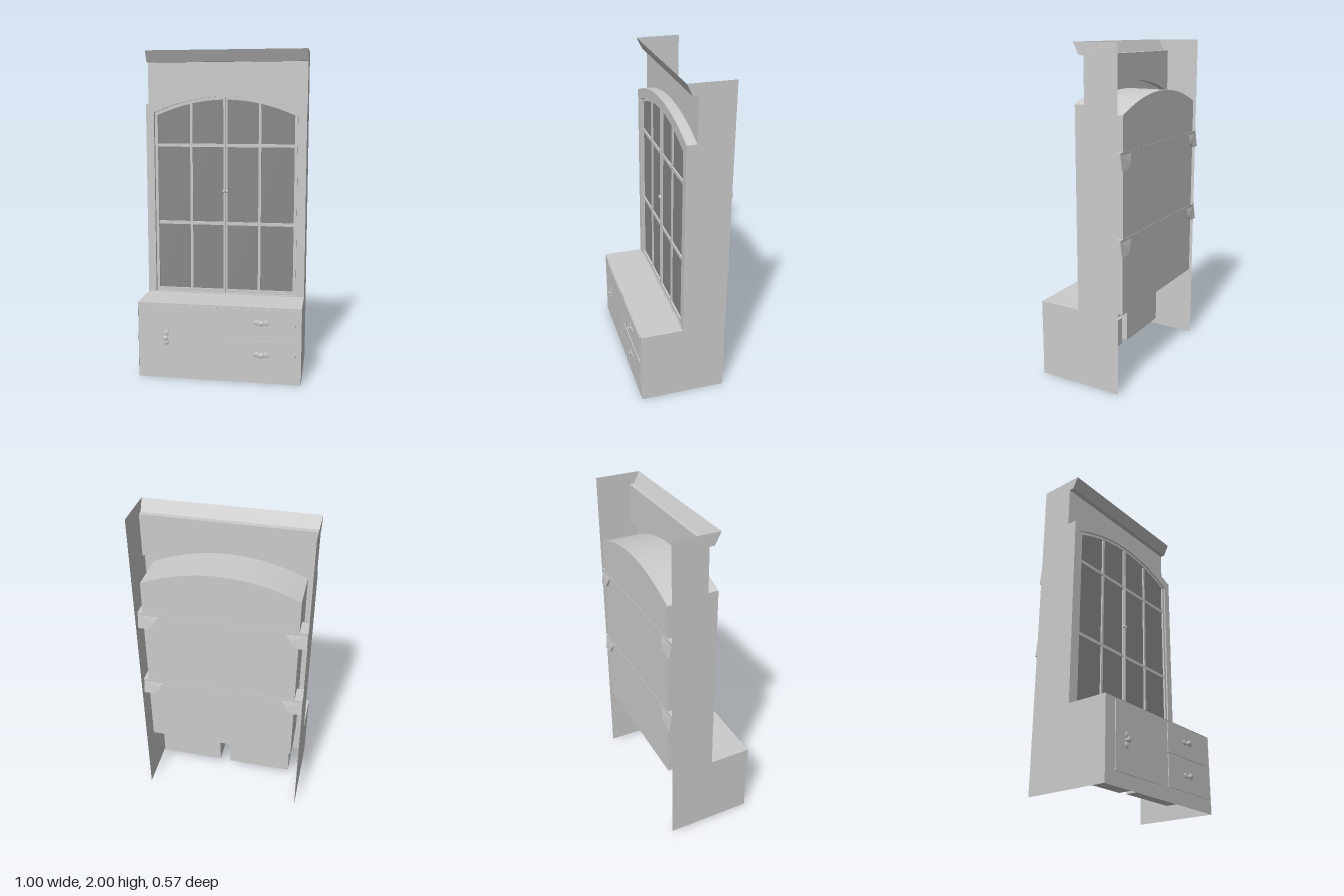
import * as THREE from 'three';

const grey = new THREE.MeshStandardMaterial({ color: 0xcccccc, side: THREE.DoubleSide });
const dark = new THREE.MeshStandardMaterial({ color: 0x888888, side: THREE.DoubleSide });

const BACK = -0.27, FRONT = 0.26, BASE_H = 0.475, RECESS = -0.06;

function add(parent, name, geometry, x = 0, y = 0, z = 0, material = grey) {
  const mesh = new THREE.Mesh(geometry, material);
  mesh.name = name;
  mesh.position.set(x, y, z);
  parent.add(mesh);
  return mesh;
}

// Box given by its limits
function block(parent, name, [x0, x1], [y0, y1], [z0, z1]) {
  return add(parent, name, new THREE.BoxGeometry(x1 - x0, y1 - y0, z1 - z0),
    (x0 + x1) / 2, (y0 + y1) / 2, (z0 + z1) / 2);
}

const polygon = (pts) => new THREE.Shape(pts.map(([x, y]) => new THREE.Vector2(x, y)));
const extrude = (shape, depth) =>
  new THREE.ExtrudeGeometry(shape, { depth, bevelEnabled: false, curveSegments: 12 });

// Shallow arch heights, as functions of x
const arch = (crown, half, rise) => (x) => crown - rise * (x / half) ** 2;
const hoodArch = arch(1.77, 0.5, 0.1);
const boxArch = arch(1.72, 0.45, 0.1);
const glassArch = arch(1.7, 0.428, 0.095);

// Outline with straight sides, a flat edge at y0 and an arched edge
function archOutline(x0, x1, y0, curve, n = 24) {
  const pts = [[x0, y0], [x1, y0]];
  for (let i = 0; i <= n; i++) {
    const x = x1 + (x0 - x1) * i / n;
    pts.push([x, curve(x)]);
  }
  return polygon(pts);
}

// Pull with two pointed leaves, a boss and a mushroom knob, lying along x
function makeHandle() {
  const handle = new THREE.Group();
  handle.name = 'handle';
  for (const s of [-1, 1]) {
    const leaf = add(handle, 'handleLeaf', new THREE.SphereGeometry(1, 8, 6), s * 0.027, 0, 0);
    leaf.geometry = new THREE.LatheGeometry(
      [[0, -0.025], [0.01, -0.012], [0.019, 0.0], [0.012, 0.012], [0, 0.025]]
        .map(([r, y]) => new THREE.Vector2(r, y)), 12);
    leaf.rotation.z = -s * Math.PI / 2;
    leaf.scale.set(1, 1, 0.25);
  }
  const knob = add(handle, 'handleKnob', new THREE.LatheGeometry(
    [[0.012, 0], [0.006, 0.004], [0.005, 0.01], [0.014, 0.013], [0.016, 0.017], [0.012, 0.021], [0, 0.023]]
      .map(([r, y]) => new THREE.Vector2(r, y)), 16));
  knob.rotation.x = Math.PI / 2;
  return handle;
}

// Glazed door leaf for the +x half; s = -1 mirrors it
function makeGlassDoor(s) {
  const door = new THREE.Group();
  door.name = s > 0 ? 'leftGlassDoor' : 'rightGlassDoor';
  const span = (a, b) => (s > 0 ? [a, b] : [-b, -a]);
  const [o0, o1] = span(0.002, 0.446), [i0, i1] = span(0.013, 0.428);
  const frame = archOutline(o0, o1, 0.482, (x) => boxArch(x) - 0.004);
  frame.holes.push(archOutline(i0, i1, 0.505, glassArch));
  add(door, 'doorFrame', extrude(frame, 0.014), 0, 0, -0.02);
  add(door, 'glass', new THREE.ShapeGeometry(archOutline(i0, i1, 0.505, glassArch)), 0, 0, -0.018, dark);
  block(door, 'verticalBar', span(0.207, 0.223), [0.505, glassArch(0.215)], [-0.018, -0.009]);
  for (const y of [0.93, 1.42]) block(door, 'crossBar', [i0, i1], [y - 0.01, y + 0.01], [-0.018, -0.009]);
  add(door, 'doorKnob', new THREE.SphereGeometry(0.009, 12, 8), s * 0.01, 1.135, -0.004);
  return door;
}

// Shelf with a curved, flared bracket under each end
function makeShelf(y) {
  const shelf = new THREE.Group();
  shelf.name = 'shelf';
  block(shelf, 'shelfBoard', [-0.498, 0.48], [0, 0.018], [-0.274, -0.165]);
  const outline = new THREE.Shape();
  outline.moveTo(0, 0);
  outline.lineTo(0.13, 0);
  outline.bezierCurveTo(0.095, -0.01, 0.1, -0.075, 0.05, -0.083);
  outline.lineTo(0, -0.083);
  for (const s of [-1, 1]) {
    const geo = extrude(outline, 0.109);
    const p = geo.attributes.position;
    for (let i = 0; i < p.count; i++) {
      const flare = Math.sin(Math.min(1, -p.getY(i) / 0.07) * Math.PI / 2);
      if (p.getZ(i) < 0.01) p.setZ(i, -0.011 * flare);
    }
    geo.computeVertexNormals();
    const bracket = add(shelf, 'shelfBracket', geo, s > 0 ? 0.48 : -0.498, 0, -0.274);
    bracket.scale.x = -s;
  }
  shelf.position.y = y;
  return shelf;
}

export function createModel() {
  const model = new THREE.Group();
  model.name = 'cabinet';

  // Thin side panels, drawn in (-z, y)
  const side = new THREE.ShapeGeometry(polygon([
    [-BACK, 0], [-BACK, 2], [-0.005, 2], [0.03, 1.93], [-RECESS, 1.93], [-RECESS, 1.67],
    [0, 1.67], [0, BASE_H], [-FRONT, BASE_H], [-FRONT, 0],
  ]));
  for (const s of [-1, 1]) {
    add(model, s > 0 ? 'leftSide' : 'rightSide', side, s * 0.5).rotation.y = Math.PI / 2;
  }

  // Base front and worktop, open behind and below
  add(model, 'baseFront', new THREE.PlaneGeometry(1, BASE_H), 0, BASE_H / 2, FRONT - 0.003);
  add(model, 'worktop', new THREE.PlaneGeometry(1, FRONT), 0, BASE_H, FRONT / 2).rotation.x = -Math.PI / 2;

  // Cupboard and drawers, reaching back inside the base
  block(model, 'cupboard', [-0.418, -0.01], [0.08, 0.46], [-0.04, 0.262]);
  block(model, 'lowerDrawer', [0.058, 0.465], [0.085, 0.265], [-0.04, 0.262]);
  block(model, 'upperDrawer', [0.058, 0.465], [0.285, 0.46], [-0.04, 0.262]);
  for (const [x, y, turn] of [[-0.325, 0.26, Math.PI / 2], [0.26, 0.38, 0], [0.26, 0.18, 0]]) {
    const handle = makeHandle();
    handle.position.set(x, y, 0.262);
    handle.rotation.z = turn;
    model.add(handle);
  }

  // Upper face frame with an arched opening
  const face = archOutline(-0.5, 0.5, BASE_H, hoodArch);
  face.holes.push(archOutline(-0.45, 0.45, 0.48, boxArch));
  add(model, 'faceFrame', extrude(face, 0.022), 0, 0, -0.022);

  // Arched display compartment behind the doors
  add(model, 'displayBox', extrude(archOutline(-0.45, 0.45, 0.48, boxArch), 0.25), 0, 0, -0.272);
  for (const s of [-1, 1]) model.add(makeGlassDoor(s));
  for (const y of [0.915, 1.405]) model.add(makeShelf(y));

  // Curved ledge running back to the recessed frieze
  const ledge = new THREE.PlaneGeometry(1, -RECESS, 24, 1).rotateX(-Math.PI / 2);
  const p = ledge.attributes.position;
  for (let i = 0; i < p.count; i++) p.setY(i, hoodArch(p.getX(i)));
  ledge.computeVertexNormals();
  add(model, 'archLedge', ledge, 0, 0, RECESS / 2);
  add(model, 'frieze', new THREE.ShapeGeometry(archOutline(-0.5, 0.5, 1.93, hoodArch)), 0, 0, RECESS);

  // Cornice: flat soffit and a sloping face, open on top
  add(model, 'corniceSoffit', new THREE.PlaneGeometry(1, 0.03), 0, 1.93, -0.045).rotation.x = Math.PI / 2;
  add(model, 'corniceFace', new THREE.PlaneGeometry(1, Math.hypot(0.07, 0.035)), 0, 1.965, -0.0125)
    .rotation.x = Math.atan2(0.035, 0.07);

  return model;
}
